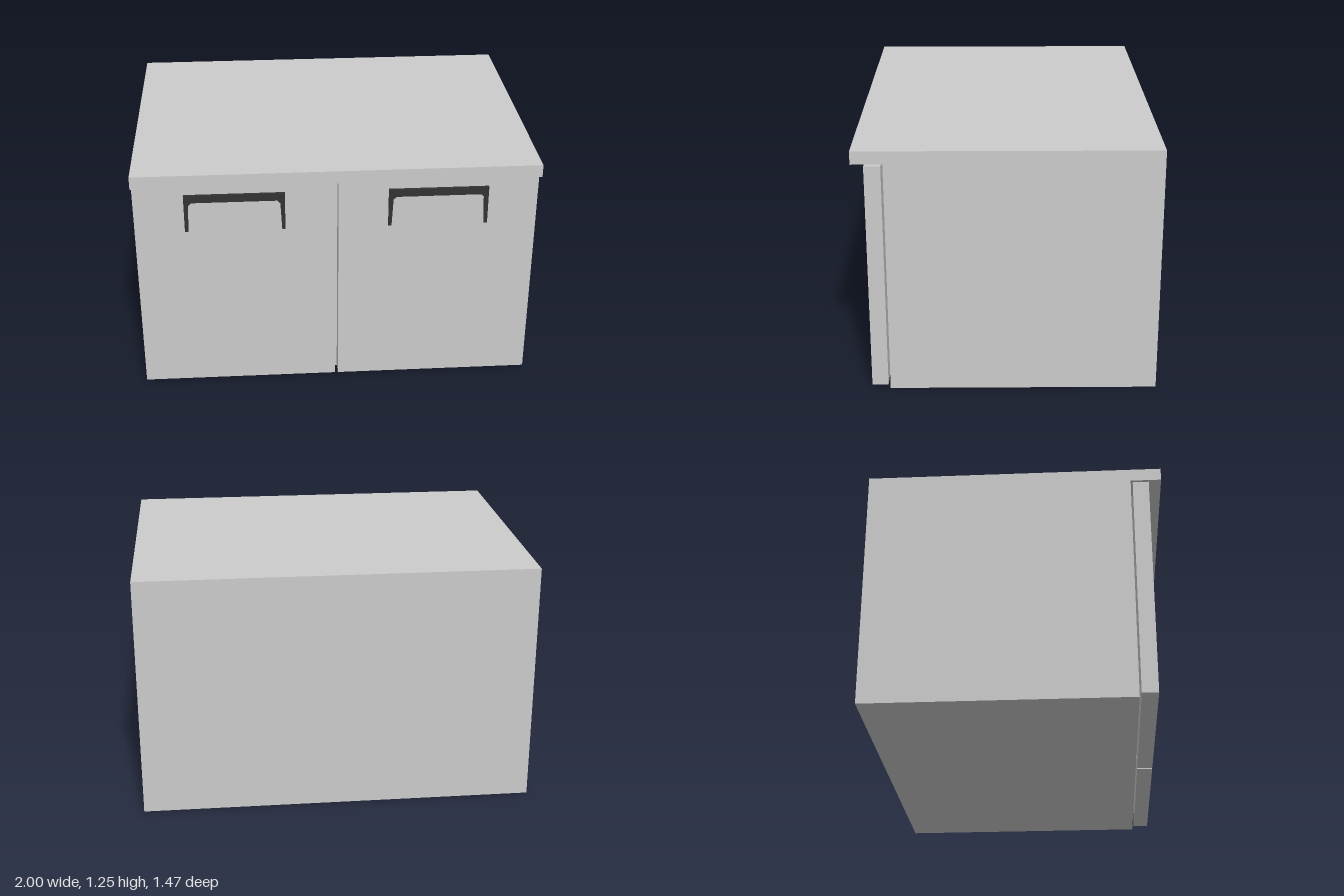
import * as THREE from 'three';

const grey = new THREE.MeshStandardMaterial({ color: 0xcccccc });
const dark = new THREE.MeshStandardMaterial({ color: 0x333333 });
const pale = new THREE.MeshStandardMaterial({ color: 0xd4d4d4 });

function outline(points) {
  return new THREE.Shape(points.map(([x, y]) => new THREE.Vector2(x, y)));
}

function extrude(name, points, depth, material) {
  const geometry = new THREE.ExtrudeGeometry(outline(points), { depth, bevelEnabled: false });
  const mesh = new THREE.Mesh(geometry, material);
  mesh.name = name;
  return mesh;
}

// Door slab with a bracket-shaped handle and its inset plate, centred on x = 0
function makeDoor(name) {
  const door = new THREE.Group();
  door.name = name;

  const panel = new THREE.Mesh(new THREE.BoxGeometry(0.992, 1.15, 0.08), grey);
  panel.name = 'doorPanel';
  panel.position.set(0, 0.595, 0.635);

  // Frame open at the bottom, with legs that widen towards the top
  const handle = extrude('handleFrame', [
    [-0.248, 0.91], [-0.232, 0.91], [-0.225, 1.055], [-0.21, 1.07],
    [0.21, 1.07], [0.225, 1.055], [0.232, 0.91], [0.248, 0.91],
    [0.248, 1.11], [-0.248, 1.11],
  ], 0.013, dark);
  handle.position.z = 0.675;

  const plate = extrude('handlePlate', [
    [-0.232, 0.91], [0.232, 0.91], [0.225, 1.055], [0.21, 1.07],
    [-0.21, 1.07], [-0.225, 1.055],
  ], 0.003, pale);
  plate.position.z = 0.675;

  door.add(panel, handle, plate);
  return door;
}

export function createModel() {
  const model = new THREE.Group();
  model.name = 'cabinet';

  // Cabinet body and overhanging worktop as one side profile (z, y) run along x
  const body = extrude('cabinetBody', [
    [-0.737, 0], [0.585, 0], [0.585, 1.18], [0.737, 1.18], [0.737, 1.245], [-0.737, 1.245],
  ], 2, grey);
  body.geometry.rotateY(-Math.PI / 2).translate(1, 0, 0);
  model.add(body);

  // Pair of doors with a narrow gap between them
  for (const side of [-1, 1]) {
    const door = makeDoor(side < 0 ? 'rightDoor' : 'leftDoor');
    door.position.x = side * 0.504;
    model.add(door);
  }
  return model;
}
